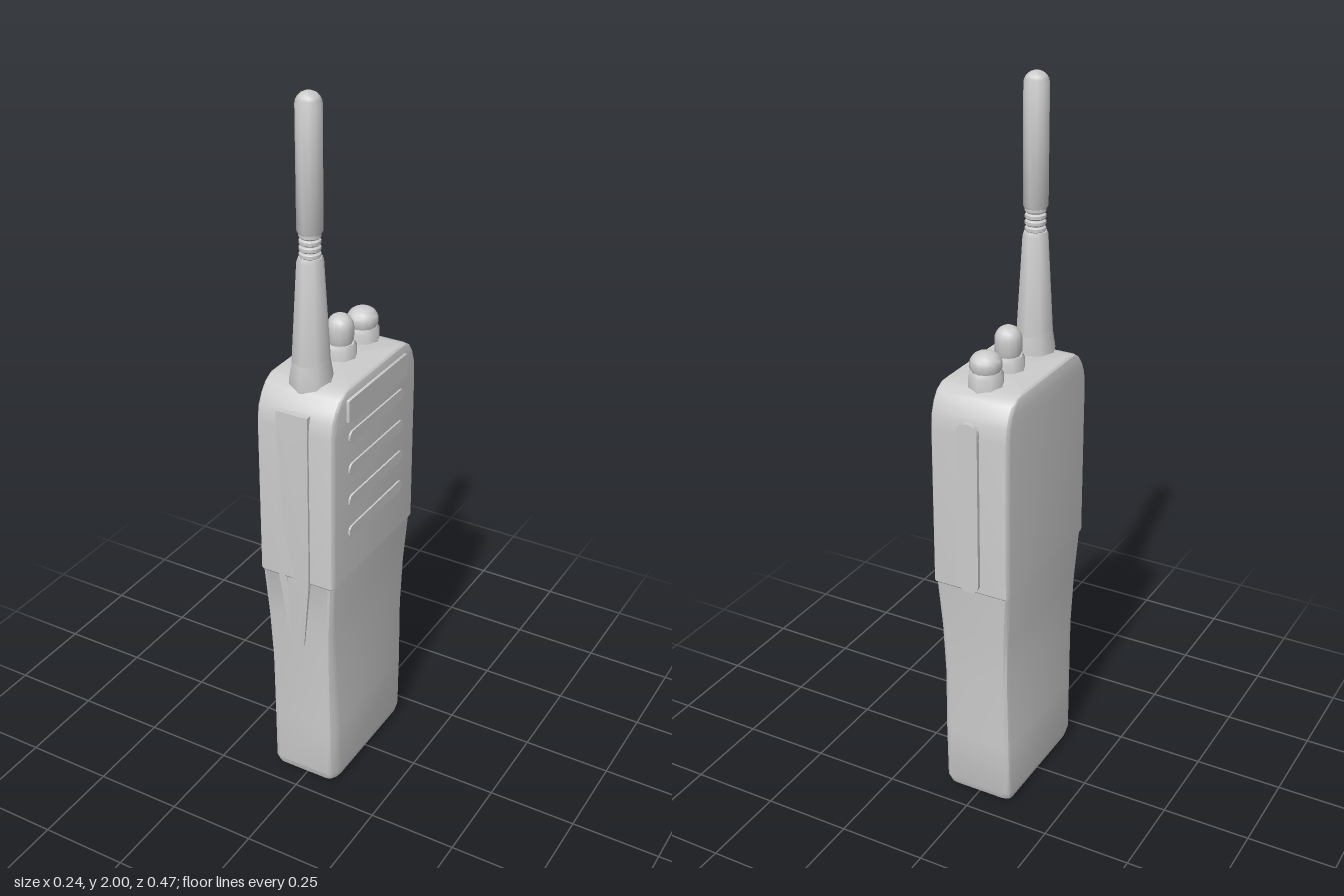
import * as THREE from 'three';
import { toCreasedNormals } from 'three/addons/utils/BufferGeometryUtils.js';

const CX = -0.006; // the body axis sits slightly off centre
const material = new THREE.MeshStandardMaterial({ color: 0xcccccc });

function addMesh(parent, name, geometry, crease = 0.6) {
  const mesh = new THREE.Mesh(crease ? toCreasedNormals(geometry, crease) : geometry, material);
  mesh.name = name;
  parent.add(mesh);
  return mesh;
}

// Body sections: y, half width, front z, back z, corner depth in x, front corner depth in z
const SECTIONS = [
  [0, 0.085, 0.175, -0.165, 0.02, 0.03],
  [0.012, 0.098, 0.195, -0.186, 0.025, 0.04],
  [0.035, 0.103, 0.203, -0.195, 0.025, 0.042],
  [0.2, 0.102, 0.206, -0.2, 0.025, 0.042],
  [0.4, 0.0985, 0.21, -0.203, 0.02, 0.034],
  [0.55, 0.101, 0.216, -0.21, 0.016, 0.026],
  [0.695, 0.109, 0.222, -0.219, 0.013, 0.018],
  [0.7, 0.114, 0.225, -0.224, 0.013, 0.018],
  [1.15, 0.114, 0.225, -0.224, 0.013, 0.018],
  [1.19, 0.114, 0.219, -0.22, 0.013, 0.018],
  [1.22, 0.114, 0.204, -0.209, 0.013, 0.018],
  [1.243, 0.114, 0.184, -0.193, 0.013, 0.018],
  [1.257, 0.112, 0.162, -0.172, 0.013, 0.016],
  [1.262, 0.107, 0.14, -0.15, 0.01, 0.014],
];

// Ring of points with four rounded corners
function ring([y, hx, zF, zB, cx, cz]) {
  const pts = [];
  const steps = 3;
  const corners = [[1, zF, cz, 1], [-1, zF, cz, 1], [-1, zB, 0.018, -1], [1, zB, 0.018, -1]];
  corners.forEach(([sx, z, c, sz], q) => {
    for (let k = 0; k <= steps; k++) {
      const a = (q + k / steps) * Math.PI / 2;
      pts.push([
        sx * (hx - cx) + Math.cos(a) * cx,
        y,
        z - sz * c + Math.sin(a) * c,
      ]);
    }
  });
  return pts;
}

function bodyGeometry() {
  const rings = SECTIONS.map(ring);
  const n = rings[0].length;
  const positions = rings.flat(2);
  const index = [];
  for (let i = 0; i < rings.length - 1; i++) {
    for (let j = 0; j < n; j++) {
      const a = i * n + j, b = i * n + (j + 1) % n;
      index.push(a, a + n, b, b, a + n, b + n);
    }
  }
  // Flat bottom and top
  const bottom = positions.length / 3, top = bottom + 1, last = (rings.length - 1) * n;
  positions.push(0, SECTIONS[0][0], 0, 0, SECTIONS[SECTIONS.length - 1][0], 0);
  for (let j = 0; j < n; j++) {
    const k = (j + 1) % n;
    index.push(bottom, j, k, top, last + k, last + j);
  }
  const g = new THREE.BufferGeometry();
  g.setAttribute('position', new THREE.Float32BufferAttribute(positions, 3));
  g.setIndex(index);
  return g;
}

// Thin raised plate with rounded corners, lying in the xy plane
function plateGeometry(w, h, r, depth) {
  const x = w / 2, y = h / 2;
  const s = new THREE.Shape();
  s.absarc(x - r, y - r, r, 0, Math.PI / 2);
  s.absarc(-x + r, y - r, r, Math.PI / 2, Math.PI);
  s.absarc(-x + r, -y + r, r, Math.PI, Math.PI * 1.5);
  s.absarc(x - r, -y + r, r, Math.PI * 1.5, Math.PI * 2);
  return new THREE.ExtrudeGeometry(s, { depth, bevelEnabled: false, curveSegments: 6 });
}

// Turned part from [radius, y] pairs
function turned(profile, sides) {
  return new THREE.LatheGeometry(profile.map(([r, y]) => new THREE.Vector2(r, y)), sides);
}

// Rounded dome points above a straight section
function dome(r, y, h, steps = 5) {
  return Array.from({ length: steps + 1 }, (_, i) => {
    const a = i / steps * Math.PI / 2;
    return [i === steps ? 0 : r * Math.cos(a), y + h * Math.sin(a)];
  });
}

export function createModel() {
  const model = new THREE.Group();
  model.name = 'handheldRadio';

  addMesh(model, 'body', bodyGeometry(), 0.5).position.x = CX + 0.002;

  // Front plate: straight above, tapered and following the waist below
  const shape = new THREE.Shape([
    [-0.046, 1.2], [-0.046, 0.7], [-0.02, 0.48], [-0.014, 0.47],
    [0.014, 0.47], [0.02, 0.48], [0.046, 0.7], [0.046, 1.2],
  ].map(([x, y]) => new THREE.Vector2(x, y)));
  const front = new THREE.ExtrudeGeometry(shape, { depth: 0.03, bevelEnabled: false });
  const p = front.attributes.position;
  for (let i = 0; i < p.count; i++) {
    p.setZ(i, p.getZ(i) - Math.max(0, 0.7 - p.getY(i)) * 0.068);
  }
  addMesh(model, 'frontPlate', front).position.set(CX, 0, 0.202);

  // Back strip
  const back = addMesh(model, 'backStrip', plateGeometry(0.06, 0.49, 0.027, 0.03));
  back.rotation.y = Math.PI;
  back.position.set(CX, 0.945, -0.205);

  // Label plate and grille bars on the left side
  const side = new THREE.Group();
  side.name = 'grille';
  side.rotation.y = Math.PI / 2;
  side.position.x = 0.1;
  model.add(side);
  addMesh(side, 'labelPlate', plateGeometry(0.31, 0.065, 0.003, 0.018)).position.y = 1.203;
  for (let i = 0; i < 4; i++) {
    addMesh(side, 'grilleBar', plateGeometry(0.29, 0.034, 0.0165, 0.015)).position.y = 1.122 - i * 0.095;
  }

  // Antenna: collar, tapered sleeve, ribbed neck, rod
  const antenna = new THREE.Group();
  antenna.name = 'antenna';
  antenna.position.set(CX, 0, 0.132);
  model.add(antenna);
  addMesh(antenna, 'antennaCollar', turned([[0.058, 1.24], [0.058, 1.265], [0.05, 1.315], [0, 1.315]], 8), 0.9);
  addMesh(antenna, 'antennaSleeve', turned([[0.051, 1.305], [0.05, 1.325], [0.035, 1.58], [0.031, 1.59], [0, 1.59]], 8), 0.9);
  const neck = [];
  for (let i = 0; i < 4; i++) {
    const y = 1.588 + i * 0.017;
    neck.push([0.023, y], [0.028, y + 0.004], [0.028, y + 0.012], [0.023, y + 0.016]);
  }
  addMesh(antenna, 'antennaNeck', turned(neck, 12), 0.7);
  addMesh(antenna, 'antennaRod', turned([[0, 1.652], [0.03, 1.652], [0.033, 1.658], ...dome(0.033, 1.97, 0.03)], 12), 0.9);

  // Two control knobs
  const knobs = [
    ['volumeKnob', -0.014, 0.045, 0.036, 1.345, 0.035],
    ['channelKnob', -0.132, 0.047, 0.042, 1.322, 0.03],
  ];
  for (const [name, z, base, r, shoulder, h] of knobs) {
    const knob = new THREE.Group();
    knob.name = name;
    knob.position.set(CX, 0, z);
    model.add(knob);
    addMesh(knob, 'knobBase', turned([[base, 1.24], [base, 1.288], [base - 0.006, 1.3], [0, 1.3]], 8), 0.9);
    addMesh(knob, 'knobCap', turned([[r - 0.006, 1.295], [r, 1.308], ...dome(r, shoulder, h)], 12), 0.9);
  }
  return model;
}
